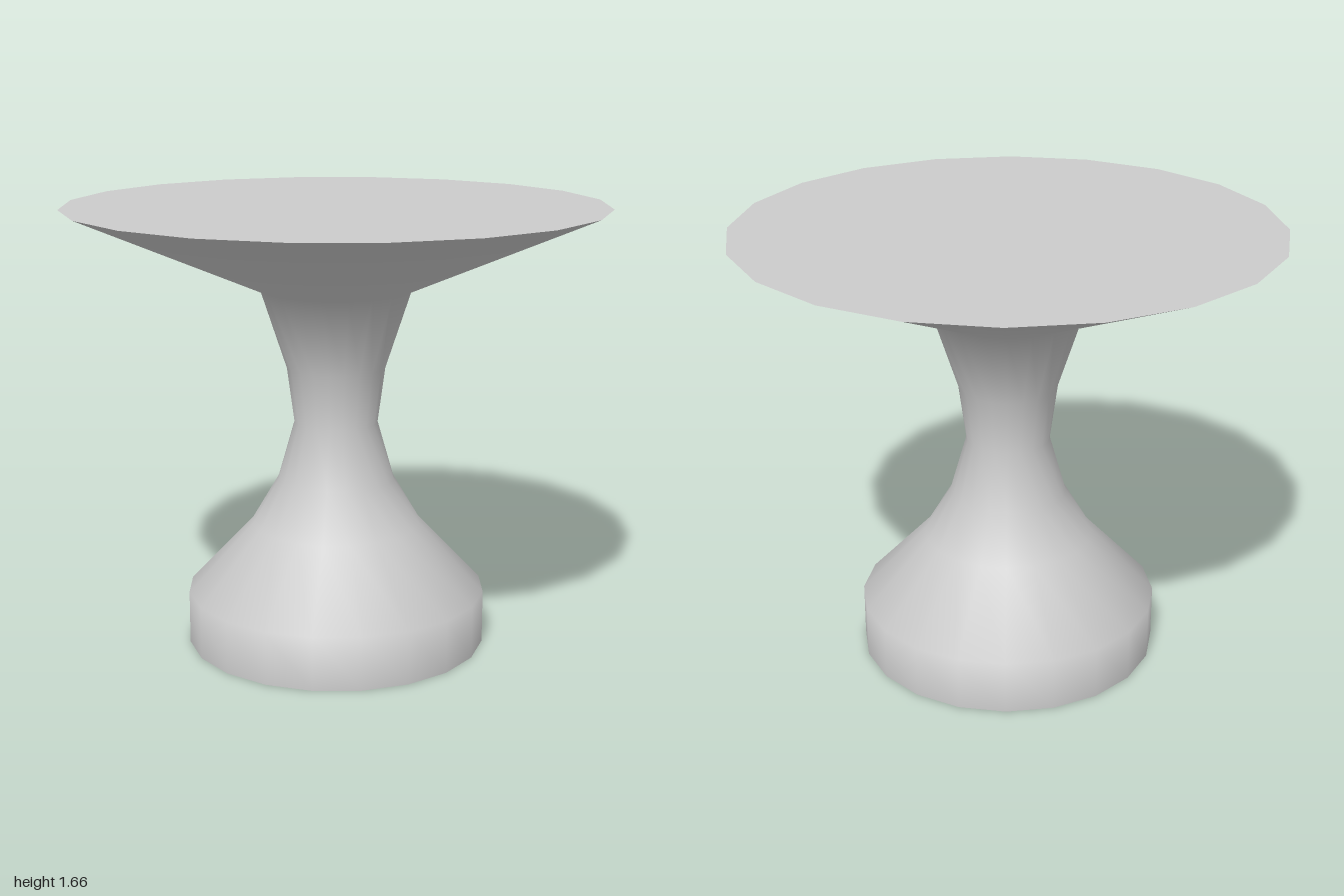
import * as THREE from 'three';

const SIDES = 20;

export function createModel() {
  const group = new THREE.Group();
  group.name = 'pedestalTable';
  const material = new THREE.MeshStandardMaterial({ color: 0xcccccc });

  const add = (name, geometry, y = 0) => {
    const mesh = new THREE.Mesh(geometry, material);
    mesh.name = name;
    mesh.position.y = y;
    group.add(mesh);
  };

  // Turned pedestal: drum foot, waisted stem, flaring underside of the top
  const profile = [
    [0.565, 0], [0.565, 0.2], [0.32, 0.46], [0.22, 0.63],
    [0.157, 0.85], [0.185, 1.06], [0.28, 1.35], [1, 1.66],
  ].map(([r, y]) => new THREE.Vector2(r, y));
  add('pedestal', new THREE.LatheGeometry(profile, SIDES));

  // Flat table top and underside of the foot
  add('tableTop', new THREE.CircleGeometry(1, SIDES).rotateX(-Math.PI / 2), 1.66);
  add('footUnderside', new THREE.CircleGeometry(0.565, SIDES).rotateX(Math.PI / 2));

  return group;
}
